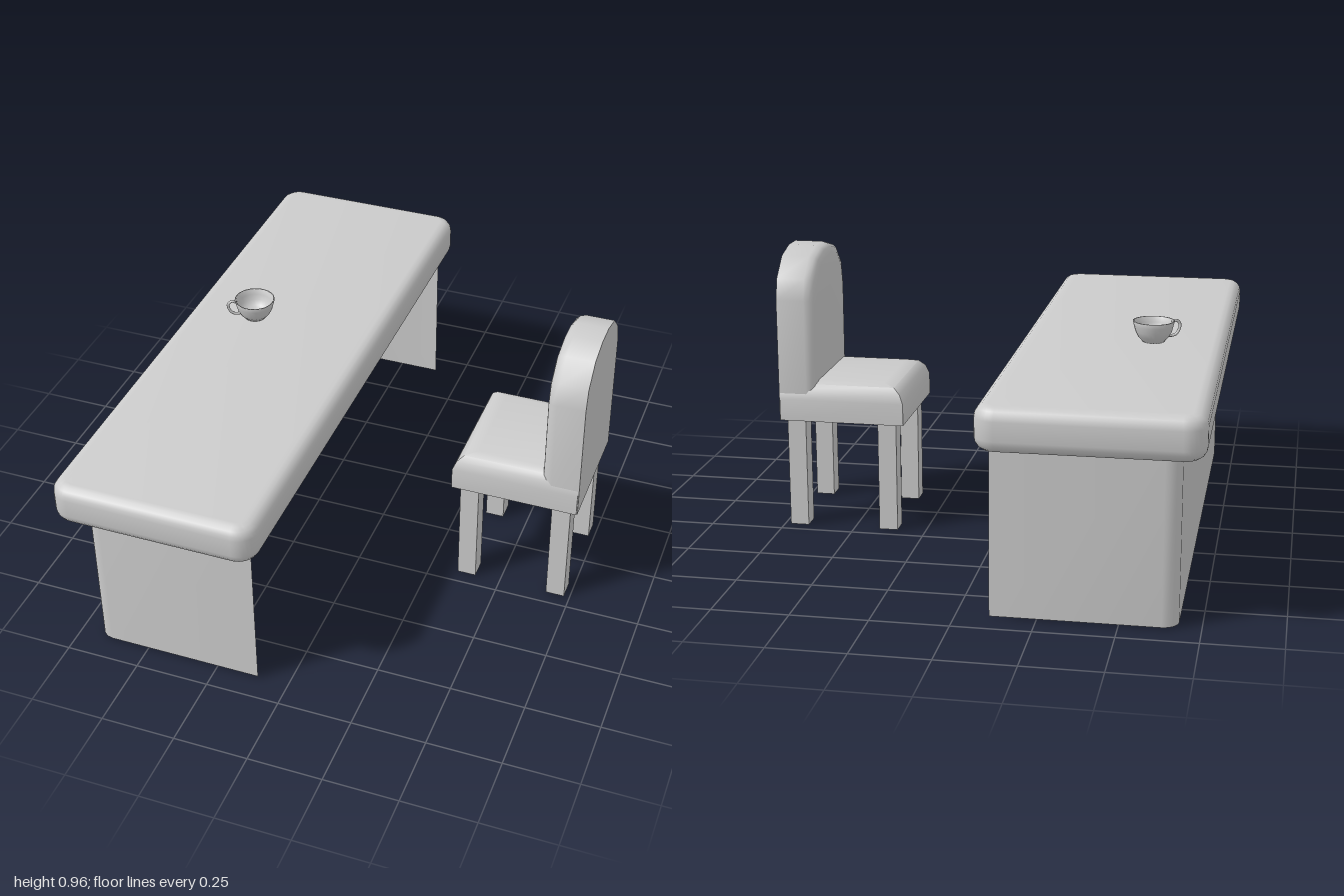
import * as THREE from 'three';
import { toCreasedNormals } from 'three/addons/utils/BufferGeometryUtils.js';

const grey = new THREE.MeshStandardMaterial({ color: 0xcccccc });
const greyDouble = new THREE.MeshStandardMaterial({ color: 0xcccccc, side: THREE.DoubleSide });

function add(parent, name, geometry, material = grey) {
  const mesh = new THREE.Mesh(geometry, material);
  mesh.name = name;
  parent.add(mesh);
  return mesh;
}

// Applies a rule to every vertex, then rebuilds normals with sharp creases
function reshape(geometry, rule, crease = 0.7) {
  const p = geometry.attributes.position;
  const v = new THREE.Vector3();
  for (let i = 0; i < p.count; i++) {
    rule(v.fromBufferAttribute(p, i));
    p.setXYZ(i, v.x, v.y, v.z);
  }
  return toCreasedNormals(geometry, crease);
}

function roundedRect(w, h, r) {
  const s = new THREE.Shape();
  const x = w / 2, y = h / 2;
  s.absarc(x - r, y - r, r, 0, Math.PI / 2);
  s.absarc(-x + r, y - r, r, Math.PI / 2, Math.PI);
  s.absarc(-x + r, -y + r, r, Math.PI, Math.PI * 1.5);
  s.absarc(x - r, -y + r, r, Math.PI * 1.5, Math.PI * 2);
  return s;
}

function createDesk() {
  const desk = new THREE.Group();
  desk.name = 'desk';

  // Thick slab with rounded edges
  const b = 0.04;
  const slab = new THREE.ExtrudeGeometry(roundedRect(0.69 - 2 * b, 2 - 2 * b, 0.03), {
    depth: 0.14 - 2 * b, bevelThickness: b, bevelSize: b, bevelSegments: 4, curveSegments: 4,
  });
  slab.rotateX(-Math.PI / 2).translate(-0.41, 0.545 + b, 0);
  add(desk, 'deskTop', toCreasedNormals(slab, 0.7));

  // Thin U-shaped panel, open towards the chair
  const outline = [[-0.105, -0.915]];
  const r = 0.05;
  for (const side of [-1, 1]) {
    for (let i = 0; i <= 4; i++) {
      const a = (side < 0 ? i : 4 - i) / 4 * Math.PI / 2;
      outline.push([-0.68 + r - r * Math.sin(a), side * (0.915 - r + r * Math.cos(a))]);
    }
  }
  outline.push([-0.105, 0.915]);
  const panel = new THREE.PlaneGeometry(1, 1, outline.length - 1, 1);
  const bent = reshape(panel, (v) => {
    const [x, z] = outline[Math.round((v.x + 0.5) * (outline.length - 1))];
    v.set(x, v.y > 0 ? 0.55 : 0.005, z);
  });
  add(desk, 'deskPanel', bent, greyDouble);
  return desk;
}

function createChair() {
  const chair = new THREE.Group();
  chair.name = 'chair';

  // Seat cushion: rows of [height, front inset, side inset]
  const rows = [[0.38, 0, 0], [0.455, 0, 0], [0.487, 0.013, 0.008], [0.507, 0.035, 0.023], [0.516, 0.075, 0.05]];
  const seat = reshape(new THREE.BoxGeometry(1, 1, 1, 1, 4, 1), (v) => {
    const [y, front, side] = rows[Math.round((v.y + 0.5) * 4)];
    v.set(v.x < 0 ? 0.32 + front : 0.752, y, Math.sign(v.z) * (0.215 - side));
  });
  add(chair, 'seat', seat);

  // Arched backrest, flat behind and rounded along its front edge
  const half = [[0.21, 0.38], [0.21, 0.8], [0.193, 0.872], [0.125, 0.938], [0.04, 0.96]];
  const arch = [...half, ...half.slice().reverse().map(([z, y]) => [-z, y])];
  const shape = new THREE.Shape(arch.map(([z, y]) => new THREE.Vector2(z, y)));
  const layers = [[0, 0], [0.095, 0], [0.113, 0.005], [0.125, 0.015], [0.13, 0.033]];
  const back = new THREE.ExtrudeGeometry(shape, { depth: 1, steps: 4, bevelEnabled: false });
  back.rotateY(-Math.PI / 2);
  add(chair, 'backrest', reshape(back, (v) => {
    const [depth, inset] = layers[Math.round(-v.x * 4)];
    v.x = 0.755 - depth;
    v.z *= 1 - inset / 0.21;
    if (v.y > 0.5) v.y = 0.5 + (v.y - 0.5) * (1 - inset / 0.46);
  }));

  // Four square legs
  for (const x of [0.38, 0.698]) {
    for (const z of [-0.168, 0.168]) {
      add(chair, 'chairLeg', new THREE.BoxGeometry(0.064, 0.385, 0.066)).position.set(x, 0.1925, z);
    }
  }
  return chair;
}

function createCup() {
  const cup = new THREE.Group();
  cup.name = 'cup';
  // Bowl with foot, outer wall, rim and inner wall
  const profile = [[0, 0.003], [0.038, 0], [0.04, 0.006], [0.052, 0.018], [0.061, 0.036], [0.066, 0.055], [0.07, 0.071],
    [0.065, 0.071], [0.06, 0.052], [0.054, 0.034], [0.043, 0.018], [0.025, 0.009], [0, 0.008]];
  add(cup, 'cupBowl', new THREE.LatheGeometry(profile.map(([x, y]) => new THREE.Vector2(x, y)), 24), greyDouble);

  // Looped handle
  const path = new THREE.CatmullRomCurve3([[0.063, 0.061], [0.08, 0.067], [0.093, 0.055], [0.09, 0.034], [0.076, 0.018], [0.052, 0.016]]
    .map(([x, y]) => new THREE.Vector3(-x, y, 0)));
  add(cup, 'cupHandle', new THREE.TubeGeometry(path, 16, 0.005, 8));
  cup.position.set(-0.515, 0.685, -0.1);
  cup.rotation.y = 0.45;
  return cup;
}

export function createModel() {
  const model = new THREE.Group();
  model.name = 'deskAndChair';
  model.add(createDesk(), createChair(), createCup());
  return model;
}
